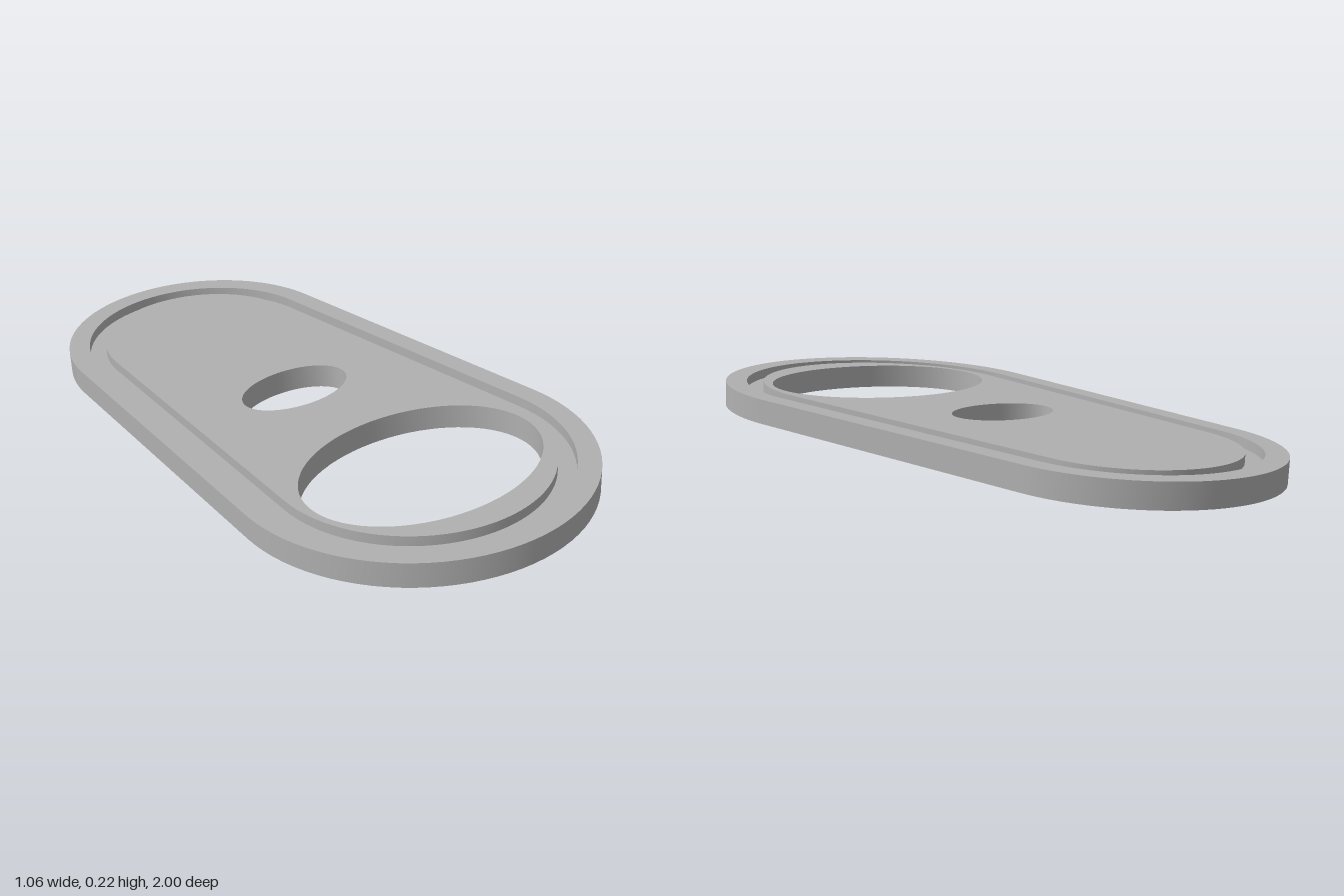
import * as THREE from 'three';

const THICK = 0.074, GROOVE_DEPTH = 0.03, TILT = 0.0716;

// Tapered rounded outline, inset evenly; plan y points to the back
function outline(inset) {
  const rf = 0.528 - inset, rb = 0.442 - inset, zf = 0.472, zb = -0.558;
  const a = Math.asin((rf - rb) / (zf - zb)), n = 48, pts = [];
  const arc = (r, z, from, to) => {
    for (let i = 0; i <= n; i++) {
      const t = from + (to - from) * i / n;
      pts.push(new THREE.Vector2(r * Math.cos(t), -z + r * Math.sin(t)));
    }
  };
  arc(rb, zb, a, Math.PI - a);
  arc(rf, zf, Math.PI - a, 2 * Math.PI + a);
  return pts;
}

function ellipse(rx, rz, z) {
  return Array.from({ length: 72 }, (_, i) => {
    const t = i / 72 * Math.PI * 2;
    return new THREE.Vector2(rx * Math.cos(t), -z + rz * Math.sin(t));
  });
}

// Flat face at height y, facing up or down
function face(pts, holes, y, down = false) {
  const shape = new THREE.Shape(pts);
  shape.holes = holes.map((h) => new THREE.Path(h));
  const g = new THREE.ShapeGeometry(shape);
  g.rotateX(-Math.PI / 2).translate(0, y, 0);
  if (down) {
    g.index.array.reverse();
    g.computeVertexNormals();
  }
  return g;
}

// Smooth upright wall along a closed outline, facing out or in
function wall(pts, y0, y1, inward = false) {
  const pos = [], idx = [], n = pts.length;
  pts.forEach((p, i) => {
    pos.push(p.x, y0, -p.y, p.x, y1, -p.y);
    const a = 2 * i, b = 2 * ((i + 1) % n);
    idx.push(a, b, b + 1, a, b + 1, a + 1);
  });
  if (inward) idx.reverse();
  const g = new THREE.BufferGeometry();
  g.setAttribute('position', new THREE.Float32BufferAttribute(pos, 3));
  g.setIndex(idx);
  g.computeVertexNormals();
  return g;
}

export function createModel() {
  const model = new THREE.Group();
  const plate = new THREE.Group();
  plate.name = 'tiltedPlate';
  model.add(plate);
  const grey = new THREE.MeshStandardMaterial({ color: 0xb0b0b0 });
  grey.name = 'plainGrey';
  const add = (name, geometry) => {
    const mesh = new THREE.Mesh(geometry, grey);
    mesh.name = name;
    plate.add(mesh);
  };

  const outer = outline(0), grooveOuter = outline(0.066), grooveInner = outline(0.119);
  const largeHole = ellipse(0.38, 0.272, 0.527), smallHole = ellipse(0.18, 0.112, -0.062);
  const holes = [largeHole, smallHole];
  const floor = THICK - GROOVE_DEPTH;

  // Body
  add('underside', face(outer, holes, 0, true));
  add('outerWall', wall(outer, 0, THICK));
  add('largeHoleWall', wall(largeHole, 0, THICK, true));
  add('smallHoleWall', wall(smallHole, 0, THICK, true));

  // Rim, groove and raised centre
  add('rimTop', face(outer, [grooveOuter], THICK));
  add('grooveOuterWall', wall(grooveOuter, floor, THICK, true));
  add('grooveFloor', face(grooveOuter, [grooveInner], floor));
  add('grooveInnerWall', wall(grooveInner, floor, THICK));
  add('centreTop', face(grooveInner, holes, THICK));

  // Front end raised, back edge on the ground
  plate.rotation.x = -TILT;
  plate.position.set(0, Math.sin(TILT), 0.0026);
  return model;
}
